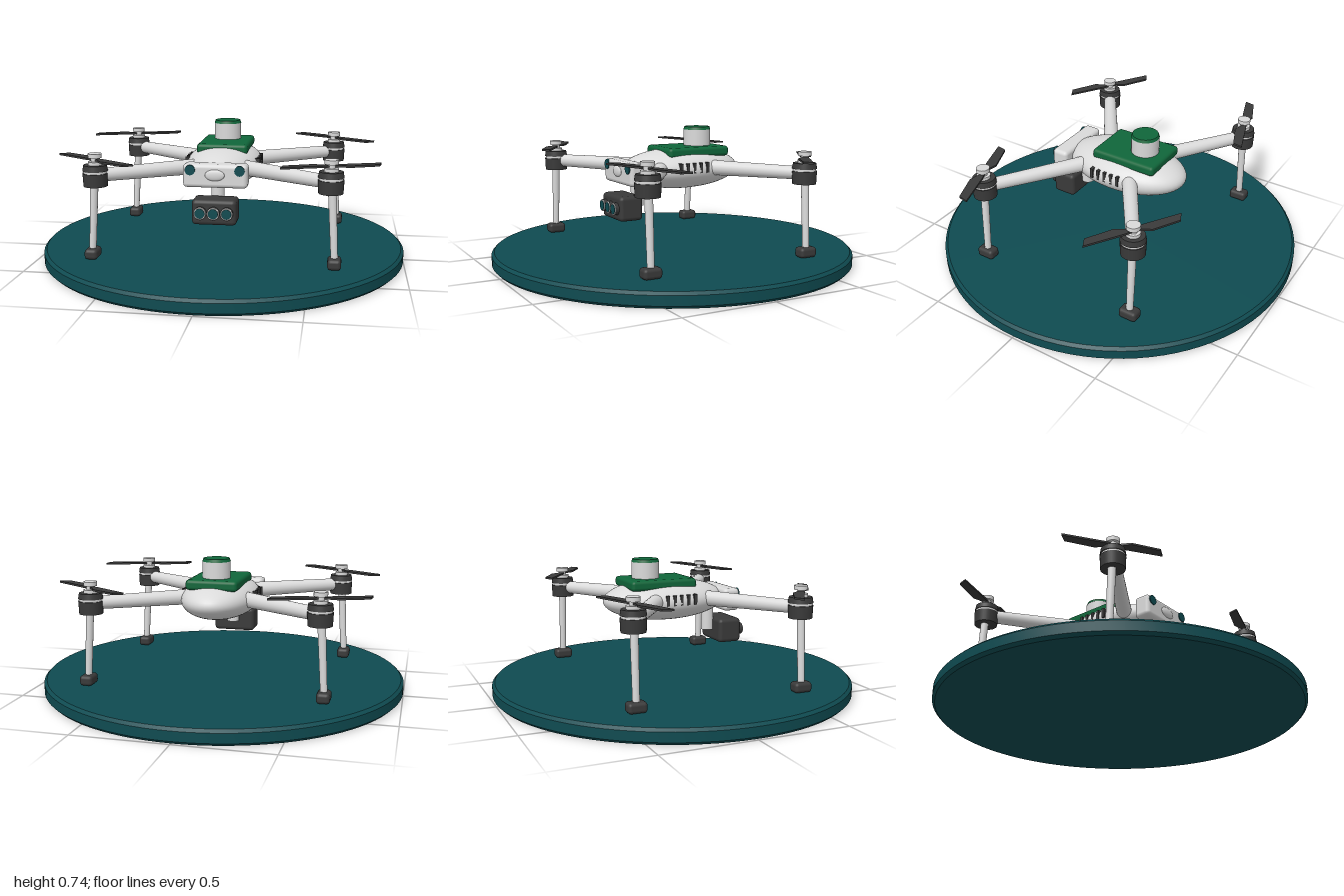
import * as THREE from 'three';
import { RoundedBoxGeometry } from 'three/addons/geometries/RoundedBoxGeometry.js';
import { toCreasedNormals } from 'three/addons/utils/BufferGeometryUtils.js';

const material = (name, color) => {
  const m = new THREE.MeshStandardMaterial({ color });
  m.name = name;
  return m;
};

export function createModel() {
  const white = material('shell white', 0xdadada);
  const dark = material('dark grey', 0x3a3a3a);
  const green = material('green', 0x10663a);
  const teal = material('deep teal', 0x0f4b51);

  const model = new THREE.Group();
  model.name = 'quadcopter';

  const add = (parent, name, geometry, mat, x = 0, y = 0, z = 0) => {
    const mesh = new THREE.Mesh(geometry, mat);
    mesh.name = name;
    mesh.position.set(x, y, z);
    parent.add(mesh);
    return mesh;
  };
  const cyl = (rTop, rBottom, h, sides = 32) => new THREE.CylinderGeometry(rTop, rBottom, h, sides);
  const box = (w, h, d, r, s = 2) => new RoundedBoxGeometry(w, h, d, s, r);
  const disc = (r, depth) => cyl(r, r, depth).rotateX(Math.PI / 2);

  // Tube between two points
  const rod = (parent, name, a, b, rA, rB, mat) => {
    const dir = b.clone().sub(a);
    const mid = a.clone().add(b).multiplyScalar(0.5);
    const mesh = add(parent, name, cyl(rB, rA, dir.length(), 24), mat, mid.x, mid.y, mid.z);
    mesh.quaternion.setFromUnitVectors(new THREE.Vector3(0, 1, 0), dir.normalize());
  };

  // Landing pad with chamfered rims
  const rim = [[0, 0], [0.985, 0], [1, 0.015], [1, 0.065], [0.985, 0.08], [0, 0.08]];
  const pad = new THREE.LatheGeometry(rim.map(([x, y]) => new THREE.Vector2(x, y)), 96);
  add(model, 'landingPad', toCreasedNormals(pad, 0.5), teal);

  // Body shell
  const shell = new THREE.SphereGeometry(1, 48, 32).scale(0.208, 0.113, 0.35);
  add(model, 'bodyShell', shell, white, 0, 0.514, -0.05);

  // Battery cover and the positioning puck on it
  add(model, 'batteryCover', box(0.28, 0.055, 0.375, 0.018), green, 0, 0.608, -0.1);
  add(model, 'puck', cyl(0.075, 0.075, 0.1), white, 0, 0.675, -0.16);
  add(model, 'puckCap', cyl(0.07, 0.076, 0.016), green, 0, 0.732, -0.16);

  // Front sensor bar with two eyes and a raised centre
  add(model, 'sensorBar', box(0.34, 0.125, 0.095, 0.022), white, 0, 0.508, 0.289);
  add(model, 'sensorBulge', new THREE.SphereGeometry(1, 24, 16).scale(0.052, 0.03, 0.012), white, 0, 0.515, 0.336);
  for (const s of [-1, 1]) {
    add(model, 'sensorEye', disc(0.027, 0.012), teal, s * 0.13, 0.54, 0.335);
    // Side vents
    for (let i = 0; i < 5; i++) {
      add(model, 'vent', new THREE.BoxGeometry(0.03, 0.056, 0.016), dark, s * 0.192, 0.53, 0.05 - i * 0.04);
    }
  }

  // Camera hanging under the nose
  add(model, 'gimbalNeck', cyl(0.035, 0.035, 0.13), white, 0, 0.385, 0.218);
  add(model, 'cameraHousing', box(0.236, 0.135, 0.135, 0.022), dark, 0, 0.323, 0.307);
  for (const x of [-0.07, 0, 0.07]) {
    add(model, 'lensBarrel', disc(0.033, 0.025), dark, x, 0.323, 0.382);
    add(model, 'lensRing', new THREE.TorusGeometry(0.029, 0.004, 8, 28), white, x, 0.323, 0.394);
    add(model, 'lensGlass', disc(0.026, 0.008), teal, x, 0.323, 0.395);
  }

  // Propeller blade: straight leading edge, swept trailing edge
  const outline = [[0, -0.012], [0.05, -0.016], [0.265, -0.012], [0.237, 0.036], [0.08, 0.042], [0.03, 0.014], [0, 0.012]];
  const bladeShape = new THREE.Shape(outline.map(([x, y]) => new THREE.Vector2(x, y)));
  const blade = new THREE.ExtrudeGeometry(bladeShape, { depth: 0.01, bevelEnabled: false });
  blade.rotateX(Math.PI / 2);

  // Four arms, each with motor, propeller, leg and foot
  for (const sx of [-1, 1]) {
    for (const sz of [-1, 1]) {
      const unit = new THREE.Group();
      unit.name = (sz > 0 ? 'front' : 'back') + (sx > 0 ? 'Left' : 'Right') + 'Rotor';
      model.add(unit);
      const x = sx * 0.6, z = sz * 0.458;
      const at = (px, y, pz) => new THREE.Vector3(px, y, pz);

      rod(unit, 'arm', at(sx * 0.12, 0.523, sz * 0.135), at(x, 0.523, z), 0.042, 0.034, white);
      rod(unit, 'leg', at(sx * 0.607, 0.48, z), at(sx * 0.627, 0.12, z), 0.021, 0.018, white);
      add(unit, 'foot', box(0.07, 0.055, 0.1, 0.018), dark, sx * 0.627, 0.109, z);

      add(unit, 'motorBase', cyl(0.065, 0.062, 0.068), dark, x, 0.502, z);
      add(unit, 'motorRing', cyl(0.06, 0.06, 0.014), white, x, 0.542, z);
      add(unit, 'motorBell', cyl(0.06, 0.065, 0.03), dark, x, 0.563, z);
      add(unit, 'hubBase', cyl(0.036, 0.036, 0.018), white, x, 0.586, z);
      add(unit, 'hubShaft', cyl(0.02, 0.02, 0.04), white, x, 0.605, z);
      add(unit, 'hubCap', cyl(0.035, 0.035, 0.022), white, x, 0.626, z);

      const spin = THREE.MathUtils.degToRad(sx * sz > 0 ? 20 : -31);
      for (const turn of [0, Math.PI]) {
        add(unit, 'propellerBlade', blade, dark, x, 0.61, z).rotation.y = spin + turn;
      }
    }
  }
  return model;
}
